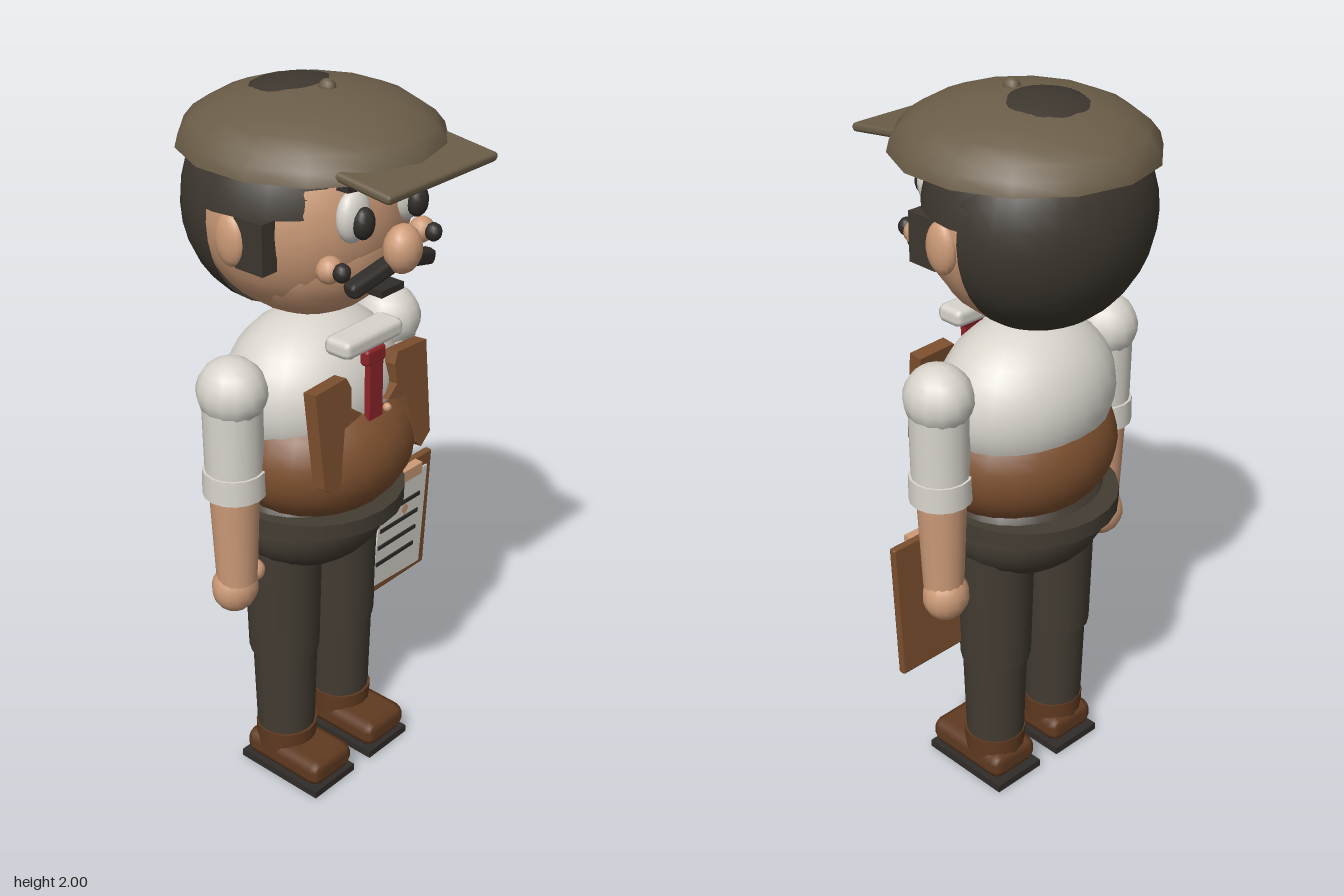
import * as THREE from 'three';
import { RoundedBoxGeometry } from 'three/addons/geometries/RoundedBoxGeometry.js';

const mat = (name, color) => {
  const m = new THREE.MeshStandardMaterial({ color, side: THREE.DoubleSide });
  m.name = name;
  return m;
};

export function createModel() {
  const root = new THREE.Group();
  root.name = 'figure';
  const body = new THREE.Group();
  body.name = 'body';
  body.position.x = -0.01; // symmetry axis of the figure
  root.add(body);

  const skin = mat('skin', 0xcd9b78);
  const hair = mat('dark hair', 0x3d372f);
  const capCloth = mat('cap cloth', 0x6b5d48);
  const shirt = mat('shirt white', 0xd9d5cd);
  const leather = mat('vest brown', 0x7c4f2e);
  const trousers = mat('trouser cloth', 0x433c32);
  const shoeBrown = mat('shoe brown', 0x603a20);
  const red = mat('tie red', 0x8e2429);
  const dark = mat('near black', 0x302c29);

  const add = (name, geo, material, x, y, z, parent = body) => {
    const m = new THREE.Mesh(geo, material);
    m.name = name;
    m.position.set(x, y, z);
    parent.add(m);
    return m;
  };
  // Ellipsoid, optionally only a band of it
  const ball = (name, material, [x, y, z], [rx, ry, rz], seg = 16, t0 = 0, t1 = Math.PI) => {
    const g = new THREE.SphereGeometry(1, seg, Math.max(8, Math.round(seg * 0.75)), 0, Math.PI * 2, t0, t1 - t0);
    g.scale(rx, ry, rz);
    return add(name, g, material, x, y, z);
  };
  const tube = (name, material, x, z, y0, y1, r0, r1, seg = 16) =>
    add(name, new THREE.CylinderGeometry(r1, r0, y1 - y0, seg), material, x, (y0 + y1) / 2, z);
  const box = (name, material, [x, y, z], [w, h, d], parent = body) =>
    add(name, new THREE.BoxGeometry(w, h, d), material, x, y, z, parent);

  // Head and jaw
  ball('head', skin, [0, 1.69, -0.06], [0.285, 0.285, 0.262], 24);
  ball('jaw', skin, [0, 1.61, -0.04], [0.24, 0.21, 0.235], 20);

  // Hair: upper cap and back shell
  ball('hairTop', hair, [0, 1.69, -0.08], [0.302, 0.3, 0.276], 24, 0, Math.acos(0.13));
  const backGeo = new THREE.SphereGeometry(1, 16, 18, Math.PI, Math.PI);
  backGeo.rotateY(0).scale(0.298, 0.29, 0.25);
  add('hairBack', backGeo, hair, 0, 1.695, -0.105);

  // Flat cap
  const capPoints = [];
  for (let i = 0; i <= 7; i++) {
    const a = (i / 7) * Math.PI / 2;
    capPoints.push(new THREE.Vector2(Math.cos(a), Math.sin(a)));
  }
  const capGeo = new THREE.LatheGeometry(capPoints, 14);
  capGeo.scale(0.328, 0.145, 0.343);
  add('capCrown', capGeo, capCloth, 0, 1.837, -0.032);
  const underside = new THREE.CircleGeometry(1, 14, Math.PI / 2);
  underside.rotateX(Math.PI / 2).scale(0.328, 1, 0.343);
  add('capUnderside', underside, capCloth, 0, 1.838, -0.032);
  ball('capButton', capCloth, [0, 1.978, 0.015], [0.022, 0.022, 0.022], 8);
  const brim = add('capBrim', new RoundedBoxGeometry(0.405, 0.024, 0.2, 1, 0.01), capCloth, 0, 1.851, 0.277);
  brim.rotation.x = 0.13;

  // Face
  ball('nose', skin, [0, 1.635, 0.255], [0.052, 0.062, 0.046], 14);
  box('mouth', dark, [0, 1.52, 0.205], [0.085, 0.018, 0.045]);
  for (const s of [1, -1]) {
    const side = s > 0 ? 'left' : 'right';
    ball(side + 'EyeWhite', shirt, [s * 0.1, 1.728, 0.185], [0.052, 0.066, 0.032], 16);
    ball(side + 'Pupil', dark, [s * 0.1, 1.718, 0.217], [0.032, 0.04, 0.025], 12);
    const brow = box(side + 'Eyebrow', dark, [s * 0.105, 1.812, 0.2], [0.105, 0.022, 0.035]);
    brow.rotation.z = s * 0.12;
    const whisker = add(side + 'Moustache', new RoundedBoxGeometry(0.15, 0.042, 0.045, 1, 0.014), dark, s * 0.082, 1.58, 0.226);
    whisker.rotation.set(0, s * 0.12, -s * 0.26);
    ball(side + 'Cheek', skin, [s * 0.172, 1.612, 0.175], [0.036, 0.034, 0.032], 10);
    ball(side + 'CheekSpot', dark, [s * 0.172, 1.615, 0.213], [0.023, 0.024, 0.022], 10);
    ball(side + 'Ear', skin, [s * 0.283, 1.665, -0.038], [0.028, 0.068, 0.047], 14);
    box(side + 'Sideburn', hair, [s * 0.265, 1.665, 0.025], [0.05, 0.13, 0.09]);
  }

  // Torso
  ball('shirtBody', shirt, [0, 1.19, -0.04], [0.262, 0.215, 0.205], 24);
  ball('vest', leather, [0, 1.03, -0.015], [0.276, 0.2, 0.245], 24);
  add('collar', new RoundedBoxGeometry(0.22, 0.05, 0.085, 1, 0.018), shirt, 0, 1.37, 0.138);
  add('tieKnot', new RoundedBoxGeometry(0.075, 0.045, 0.03, 1, 0.01), red, 0, 1.328, 0.168);
  box('tieBlade', red, [0, 1.235, 0.172], [0.05, 0.165, 0.018]);
  ball('vestButton', skin, [0.038, 1.17, 0.186], [0.012, 0.012, 0.012], 8);

  // Vest lapels, mirrored
  const lapelPoints = [[0.215, 0.14], [0.1, 0.145], [0.085, 0.115], [0.09, 0.06], [0.05, 0.03],
    [0.12, 0.015], [0.15, -0.13], [0.17, -0.15], [0.21, -0.12]];
  for (const s of [1, -1]) {
    const shape = new THREE.Shape(lapelPoints.map(([x, y]) => new THREE.Vector2(s * x, y)));
    const geo = new THREE.ExtrudeGeometry(shape, { depth: 0.04, bevelEnabled: false });
    const lapel = add(s > 0 ? 'leftLapel' : 'rightLapel', geo, leather, 0, 1.15, 0.142);
    lapel.rotation.x = -0.1;
  }

  // Belt and hips
  const belt = tube('belt', dark, -0.005, -0.034, 0.85, 0.895, 0.25, 0.25, 24);
  belt.material = trousers;
  ball('hips', trousers, [-0.005, 0.83, -0.038], [0.245, 0.165, 0.203], 24);

  for (const s of [1, -1]) {
    const side = s > 0 ? 'left' : 'right';

    // Leg and shoe
    const lx = s * 0.117;
    tube(side + 'Thigh', trousers, lx, -0.04, 0.41, 0.82, 0.098, 0.108);
    tube(side + 'Shin', trousers, lx, -0.037, 0.08, 0.42, 0.08, 0.09);
    tube(side + 'ShoeCuff', shoeBrown, lx, -0.035, 0.07, 0.148, 0.084, 0.087);
    add(side + 'Shoe', new RoundedBoxGeometry(0.162, 0.078, 0.275, 1, 0.028), shoeBrown, lx, 0.067, 0.012);
    box(side + 'Sole', dark, [lx, 0.014, 0.007], [0.165, 0.022, 0.285]);
    box(side + 'SolePad', shoeBrown, [lx, 0.002, 0.007], [0.12, 0.004, 0.235]);

    // Arm and hand
    const ax = s * 0.3;
    ball(side + 'Shoulder', shirt, [ax, 1.272, -0.033], [0.088, 0.09, 0.093], 14);
    tube(side + 'Sleeve', shirt, ax, -0.033, 1.03, 1.27, 0.075, 0.078);
    tube(side + 'SleeveCuff', shirt, ax, -0.033, 0.985, 1.055, 0.083, 0.082);
    tube(side + 'Forearm', skin, ax, -0.035, 0.72, 1.0, 0.054, 0.066);
    ball(side + 'Hand', skin, [ax, 0.69, -0.043], [0.065, 0.07, 0.06], 14);
    ball(side + 'Thumb', skin, [ax - s * 0.048, 0.73, -0.015], [0.026, 0.03, 0.028], 10);
  }

  // Clipboard in the left hand
  const clipboard = new THREE.Group();
  clipboard.name = 'clipboard';
  clipboard.position.set(0.29, 0.648, 0.03);
  clipboard.rotation.x = 0.05;
  body.add(clipboard);
  add('board', new RoundedBoxGeometry(0.24, 0.388, 0.022, 1, 0.006), leather, 0, 0, 0, clipboard);
  const sheet = new THREE.Shape([[-0.122, -0.165], [0.09, -0.175], [0.096, 0.155], [-0.1, 0.155]]
    .map(([x, y]) => new THREE.Vector2(x, y)));
  add('paper', new THREE.ExtrudeGeometry(sheet, { depth: 0.005, bevelEnabled: false }), shirt, 0, 0, 0.011, clipboard);
  for (let i = 0; i < 4; i++) {
    box('writtenLine', dark, [-0.015 - i * 0.005, 0.073 - i * 0.055, 0.018], [0.165, 0.012, 0.004], clipboard);
  }
  box('clip', skin, [-0.01, 0.174, 0.02], [0.115, 0.036, 0.03], clipboard);
  add('paperMark', new THREE.CircleGeometry(0.022, 4), skin, 0, 0.05, 0.021, clipboard).scale.x = 0.7;

  return root;
}
